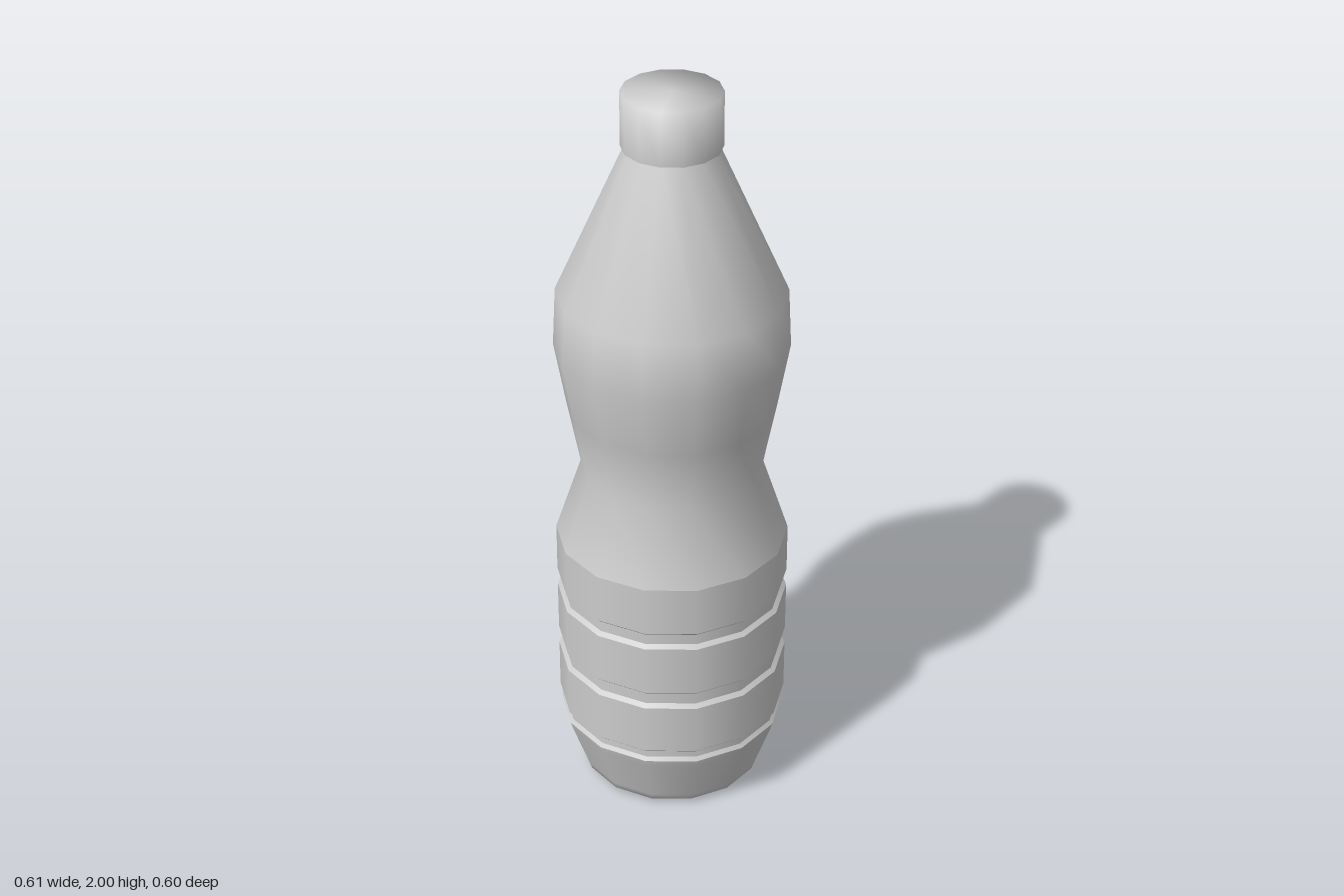
import * as THREE from 'three';

const SIDES = 14;
const material = new THREE.MeshStandardMaterial({ color: 0xcccccc });

// Turns a profile of [radius, height] points, smooth within itself
function turned(name, profile) {
  const points = profile.map(([r, y]) => new THREE.Vector2(r, y));
  const mesh = new THREE.Mesh(new THREE.LatheGeometry(points, SIDES, Math.PI / 2), material);
  mesh.name = name;
  return mesh;
}

export function createModel() {
  const bottle = new THREE.Group();
  bottle.name = 'bottle';
  const R = 0.306;
  const grooveR = 0.295;

  // Flat underside and the tapered foot
  bottle.add(turned('underside', [[0, 0], [0.224, 0]]));
  bottle.add(turned('foot', [[0.224, 0], [0.243, 0.015], [0.25, 0.035], [0.298, 0.172], [0.303, 0.19]]));

  // Grooves with crisp edges, separated by straight bands
  const grooves = [[0.19, 0.228], [0.368, 0.42], [0.56, 0.61]];
  const bandTop = 0.746;
  grooves.forEach(([y0, y1], i) => {
    const lowerR = i === 0 ? 0.303 : R;
    const groove = new THREE.Group();
    groove.name = `groove${i + 1}`;
    groove.add(
      turned('grooveLowerEdge', [[lowerR, y0], [grooveR, y0 + 0.01]]),
      turned('grooveFloor', [[grooveR, y0 + 0.01], [grooveR, y1 - 0.01]]),
      turned('grooveUpperEdge', [[grooveR, y1 - 0.01], [R, y1]])
    );
    const next = i < grooves.length - 1 ? grooves[i + 1][0] : bandTop;
    bottle.add(groove, turned(`band${i + 1}`, [[R, y1], [R, next]]));
  });

  // Waist, upper bulge and shoulder
  bottle.add(turned('upperBody', [
    [R, bandTop], [0.238, 0.952], [0.272, 1.13], [0.302, 1.3], [0.294, 1.46], [0.118, 1.855]
  ]));

  // Cap with a small lip below and a softly shaded top
  bottle.add(turned('capLip', [[0.118, 1.855], [0.127, 1.856]]));
  bottle.add(turned('cap', [[0.127, 1.856], [0.127, 2], [0, 2]]));
  return bottle;
}
